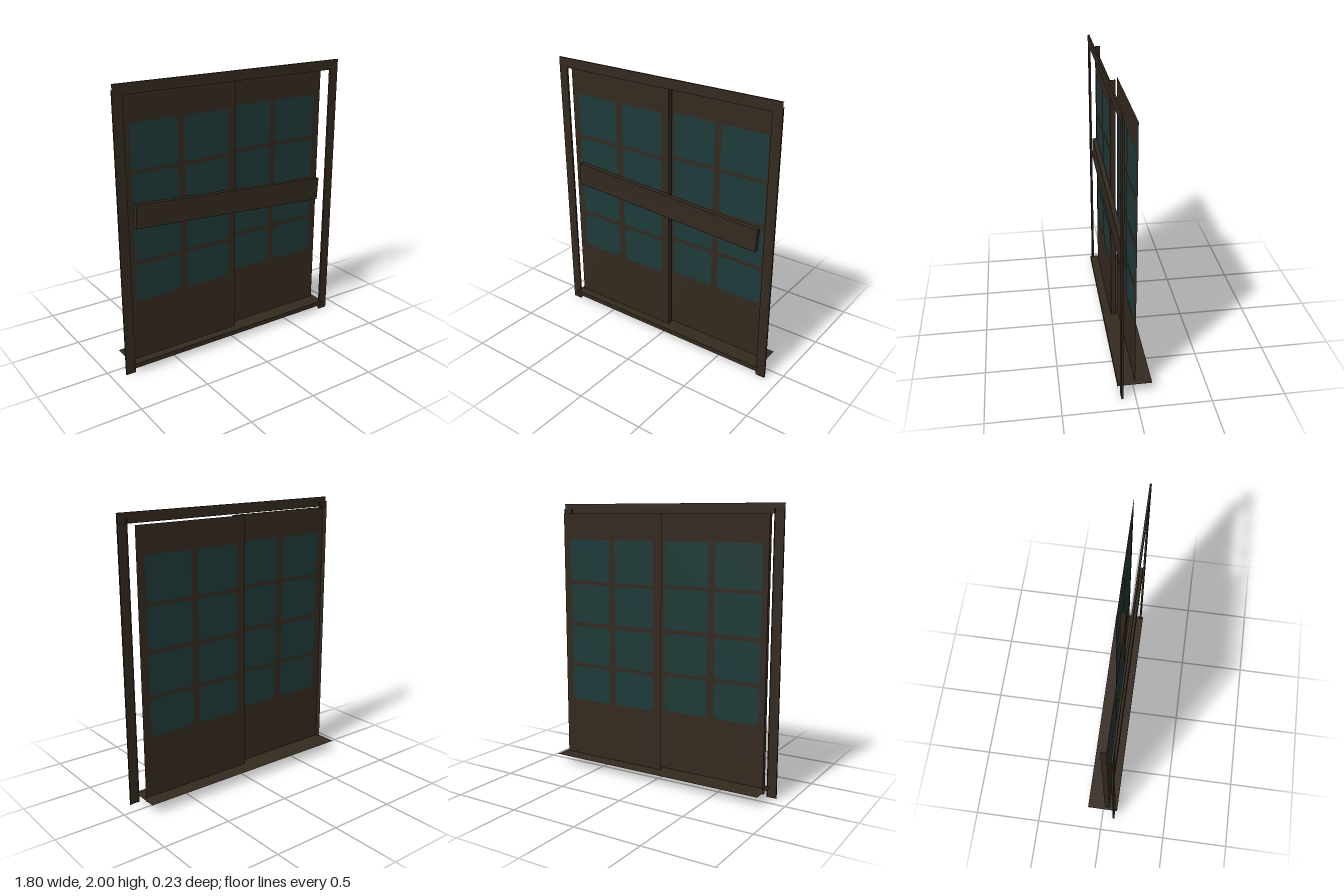
import * as THREE from 'three';

export function createModel() {
  const root = new THREE.Group();
  const wood = new THREE.MeshStandardMaterial({ color: 0x33291f, side: THREE.DoubleSide });
  wood.name = 'dark wood';
  const glass = new THREE.MeshStandardMaterial({ color: 0x1d3938, side: THREE.DoubleSide });
  glass.name = 'teal glass';

  const add = (name, geometry, material, parent = root) => {
    const mesh = new THREE.Mesh(geometry, material);
    mesh.name = name;
    parent.add(mesh);
    return mesh;
  };
  // Thin channel given by its limits: a front sheet with flanges folded back.
  // Box sides are numbered +x 0, -x 1, +y 2, -y 3, +z 4, -z 5.
  const FRONT = 4;
  const SIDES = [0, 1];
  const EDGES = [2, 3];
  const channel = (name, [x0, x1], [y0, y1], [z0, z1], flanges, parent) => {
    const g = new THREE.BoxGeometry(x1 - x0, y1 - y0, z1 - z0);
    const all = Array.from(g.index.array);
    g.setIndex([FRONT, ...flanges].flatMap((f) => all.slice(f * 6, f * 6 + 6)));
    g.clearGroups();
    add(name, g, wood, parent).position.set((x0 + x1) / 2, (y0 + y1) / 2, (z0 + z1) / 2);
  };

  // Thin door frame standing in front of the doors
  const frameZ = [0.084, 0.097];
  channel('leftPost', [0.83, 0.9], [0, 1.965], frameZ, SIDES);
  channel('rightPost', [-0.9, -0.83], [0, 1.965], frameZ, SIDES);
  channel('lintel', [-0.9, 0.9], [1.93, 2], frameZ, EDGES);

  // Pane with softly rounded corners
  const pane = ([x0, x1], [y0, y1], r) => {
    const s = new THREE.Shape();
    s.moveTo(x0 + r, y0);
    s.lineTo(x1 - r, y0);
    s.quadraticCurveTo(x1, y0, x1, y0 + r);
    s.lineTo(x1, y1 - r);
    s.quadraticCurveTo(x1, y1, x1 - r, y1);
    s.lineTo(x0 + r, y1);
    s.quadraticCurveTo(x0, y1, x0, y1 - r);
    s.lineTo(x0, y0 + r);
    s.quadraticCurveTo(x0, y0, x0 + r, y0);
    return new THREE.ShapeGeometry(s, 4);
  };
  const rows = [
    { y: [1.43, 1.74], r: 0.015 },
    { y: [1.115, 1.405], r: 0.025 },
    { y: [0.8, 1.085], r: 0.025 },
    { y: [0.51, 0.775], r: 0.045 },
  ];
  // Glass on both faces of a door sheet at depth z
  const glaze = (parent, columns, z) => {
    for (const x of columns) {
      for (const { y, r } of rows) {
        for (const side of [1, -1]) add('windowPane', pane(x, y, r), glass, parent).position.z = z + side * 0.002;
      }
    }
  };

  // Right door with folded sides, sliding in front of the flat left one
  const rightDoor = new THREE.Group();
  rightDoor.name = 'rightDoor';
  root.add(rightDoor);
  channel('rightDoorPanel', [-0.83, 0.033], [0.04, 1.93], [0.013, 0.05], SIDES, rightDoor);
  glaze(rightDoor, [[-0.773, -0.425], [-0.373, -0.025]], 0.05);

  const leftDoor = new THREE.Group();
  leftDoor.name = 'leftDoor';
  root.add(leftDoor);
  const panel = add('leftDoorPanel', new THREE.PlaneGeometry(0.86, 1.89), wood, leftDoor);
  panel.position.set(0.4, 0.985, -0.006);
  glaze(leftDoor, [[0.037, 0.37], [0.418, 0.77]], -0.006);

  // Slanted plank barring the doors
  const plank = add('barPlank', new THREE.BoxGeometry(1.54, 0.165, 0.033), wood);
  plank.position.set(0, 1.081, 0.071);
  plank.rotation.z = -0.0586;

  // Sheet threshold with a short front lip
  const sill = add('sill', new THREE.PlaneGeometry(1.7, 0.232), wood);
  sill.rotation.x = -Math.PI / 2;
  sill.position.set(0, 0.073, -0.004);
  add('sillLip', new THREE.PlaneGeometry(1.7, 0.033), wood).position.set(0, 0.0565, 0.112);

  return root;
}
